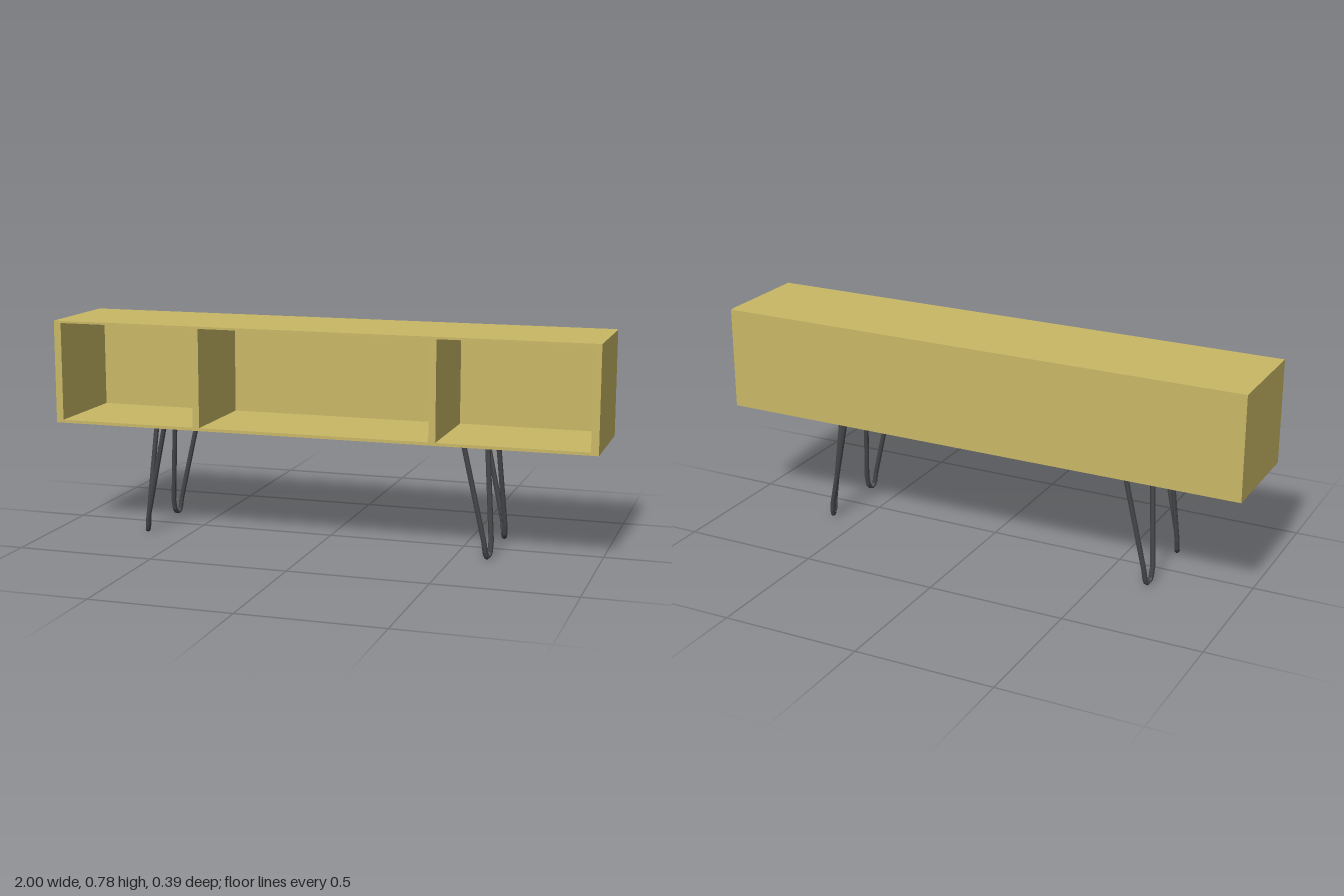
import * as THREE from 'three';

export function createModel() {
  const model = new THREE.Group();
  model.name = 'mediaConsole';
  const wood = new THREE.MeshStandardMaterial({ color: 0xc9b866 });
  wood.name = 'pale wood';
  const steel = new THREE.MeshStandardMaterial({ color: 0x444548, flatShading: true });
  steel.name = 'dark steel';

  // Board given by its min and max on each axis
  const board = (name, x0, x1, y0, y1, z0, z1) => {
    const mesh = new THREE.Mesh(new THREE.BoxGeometry(x1 - x0, y1 - y0, z1 - z0), wood);
    mesh.position.set((x0 + x1) / 2, (y0 + y1) / 2, (z0 + z1) / 2);
    mesh.name = name;
    model.add(mesh);
  };

  // Cabinet shell, open at the front
  const bottom = 0.405, top = 0.783, front = 0.193, back = -0.193;
  const inner = -0.176, side = 0.973, floor = bottom + 0.011, ceiling = top - 0.008;
  board('rightSide', -1, -side, bottom, top, inner, front);
  board('leftSide', side, 1, bottom, top, inner, front);
  board('topBoard', -side, side, ceiling, top, inner, front);
  board('bottomBoard', -side, side, bottom, floor, inner, front);
  board('backPanel', -1, 0.997, bottom, top, back, inner);

  // Dividers making three compartments
  board('rightDivider', -0.46, -0.435, floor, ceiling, inner, front);
  board('leftDivider', 0.413, 0.438, floor, ceiling, inner, front);

  // Hairpin legs: two straight rods joined by a tight bend at the foot
  const hairpin = [
    [0.534, 0.41, 0.174], [0.609, 0.065, 0.162], [0.613, 0.022, 0.157],
    [0.619, 0.012, 0.146], [0.623, 0.022, 0.129], [0.625, 0.065, 0.121], [0.599, 0.41, 0.088],
  ];
  const shiftX = -0.0225, shiftZ = 0.0035;
  for (const sx of [-1, 1]) {
    for (const sz of [-1, 1]) {
      const points = hairpin.map(([x, y, z]) => new THREE.Vector3(
        shiftX + sx * (x - shiftX), y, shiftZ + sz * (z - shiftZ)));
      const path = new THREE.CurvePath();
      for (let i = 1; i < points.length; i++) path.add(new THREE.LineCurve3(points[i - 1], points[i]));
      const leg = new THREE.Mesh(new THREE.TubeGeometry(path, 64, 0.0095, 8), steel);
      leg.name = (sz > 0 ? 'front' : 'back') + (sx > 0 ? 'Left' : 'Right') + 'Leg';
      model.add(leg);
    }
  }
  return model;
}
